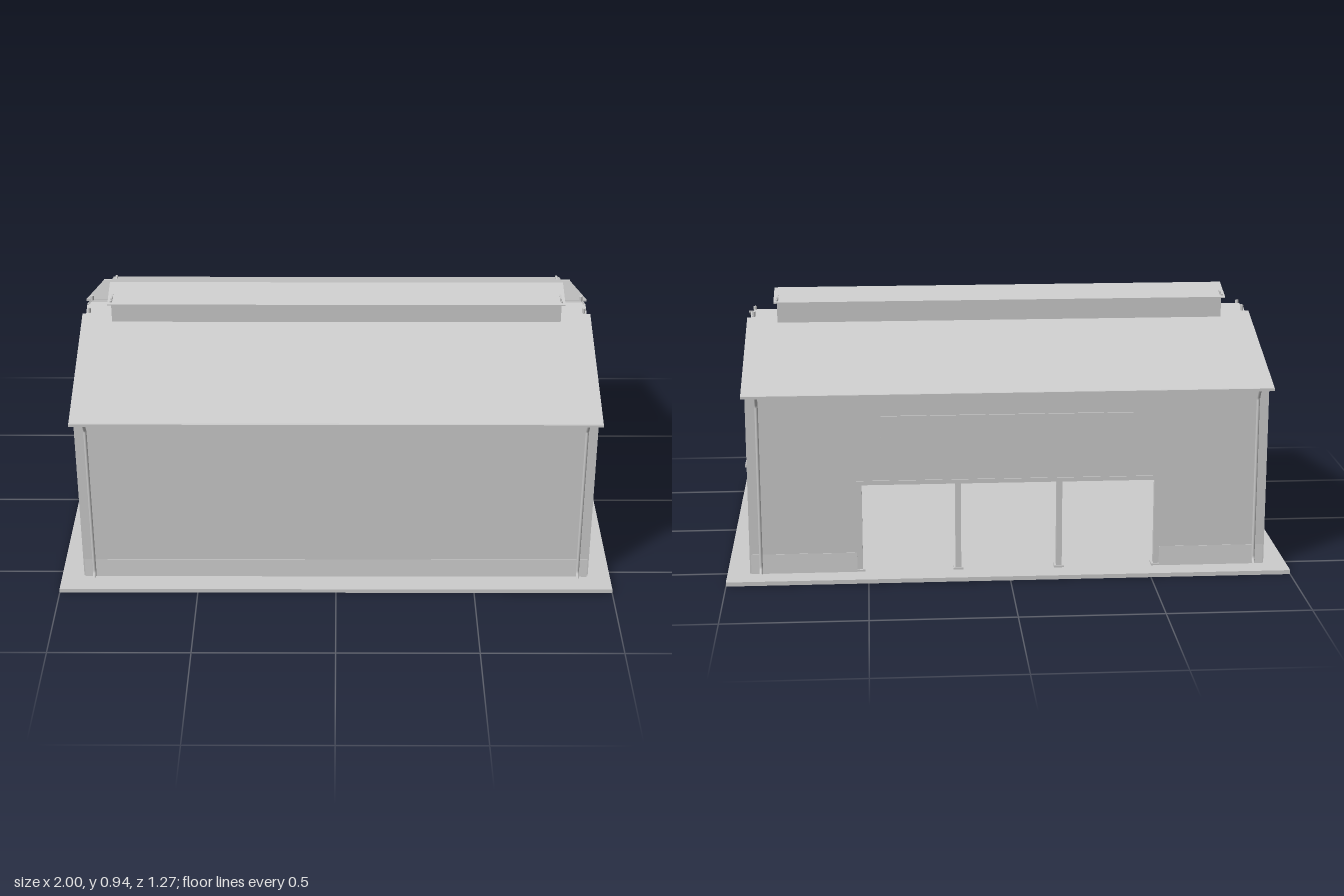
import * as THREE from 'three';

export function createModel() {
  const model = new THREE.Group();
  const grey = new THREE.MeshStandardMaterial({ color: 0xcccccc });
  grey.name = 'plainGrey';

  const add = (name, geo, parent = model) => {
    const m = new THREE.Mesh(geo, grey);
    m.name = name;
    parent.add(m);
    return m;
  };
  // Box given by its min and max on each axis
  const box = (name, x0, x1, y0, y1, z0, z1, parent) =>
    add(name, new THREE.BoxGeometry(x1 - x0, y1 - y0, z1 - z0)
      .translate((x0 + x1) / 2, (y0 + y1) / 2, (z0 + z1) / 2), parent);
  // Extrudes a z,y outline along x, from x0 to x1
  const prism = (name, pts, x0, x1, parent) => {
    const shape = new THREE.Shape(pts.map(([z, y]) => new THREE.Vector2(-z, y)));
    const geo = new THREE.ExtrudeGeometry(shape, { depth: x1 - x0, bevelEnabled: false });
    return add(name, geo.rotateY(Math.PI / 2).translate(x0, 0, 0), parent);
  };
  // Square bar between two points in the z,y plane at position x
  const bar = (name, x, [z0, y0], [z1, y1], w, parent) => {
    const m = add(name, new THREE.BoxGeometry(w, w, Math.hypot(z1 - z0, y1 - y0)), parent);
    m.position.set(x, (y0 + y1) / 2, (z0 + z1) / 2);
    m.rotation.x = -Math.atan2(y1 - y0, z1 - z0);
    return m;
  };

  const floor = 0.015, W = 0.915, D = 0.545, T = 0.016;
  const roofY = z => 0.86 - 0.325 * Math.abs(z);

  box('baseSlab', -1, 1, 0, floor, -0.635, 0.635);

  // Long walls
  box('frontWall', -W, W, floor, 0.675, D - T, D);
  const back = new THREE.Shape([[-W, floor], [-0.53, floor], [-0.53, 0.345], [0.53, 0.345],
    [0.53, floor], [W, floor], [W, 0.675], [-W, 0.675]].map(p => new THREE.Vector2(...p)));
  add('backWall', new THREE.ExtrudeGeometry(back, { depth: T, bevelEnabled: false }).translate(0, 0, -D));
  for (const x of [-0.53, -0.18, 0.18, 0.53]) {
    box('bayPost', x - 0.01, x + 0.01, floor, 0.345, -D, -D + 0.025);
    box('bayPostFoot', x - 0.018, x + 0.018, floor, 0.022, -D - 0.006, -D + 0.03);
  }
  box('bayLintel', -0.54, 0.54, 0.335, 0.35, -D - 0.004, -D + 0.02);
  box('backPanel', -0.45, 0.45, 0.485, 0.585, -D - 0.006, -D);

  // Sloping plinth strips
  const plinth = (s, x0, x1) => prism('plinth', s > 0
    ? [[D - 0.002, floor], [D + 0.007, floor], [D + 0.002, 0.085], [D - 0.002, 0.085]]
    : [[-D + 0.002, floor], [-D + 0.002, 0.085], [-D - 0.002, 0.085], [-D - 0.007, floor]], x0, x1);
  plinth(1, -W, W);
  plinth(-1, -W, -0.54);
  plinth(-1, 0.54, W);

  // Gable end walls, with a doorway in the left one
  const eave = roofY(D) - 0.008;
  const gableTop = [[-D, eave], [0, 0.85], [D, eave]];
  prism('rightGable', [...gableTop, [D, floor], [-D, floor]], -W, -W + T);
  prism('leftGable', [...gableTop, [D, floor], [0.185, floor], [0.185, 0.39],
    [-0.185, 0.39], [-0.185, floor], [-D, floor]], W - T, W);

  for (const s of [-1, 1]) {
    const gable = new THREE.Group();
    gable.name = 'gableTrim';
    model.add(gable);
    const [x0, x1] = s > 0 ? [W, W + 0.005] : [-W - 0.005, -W];
    for (const m of [-1, 1]) {
      // Corner strip with two bracket blocks
      box('cornerStrip', x0, x1, floor, 0.67, Math.min(m * 0.52, m * D), Math.max(m * 0.52, m * D), gable);
      for (const y of [0.46, 0.64])
        box('bracketBlock', x0, x1, y, y + 0.028, Math.min(m * 0.475, m * 0.52), Math.max(m * 0.475, m * 0.52), gable);
      const band = [[0, 0.838], [m * 0.52, 0.668], [m * D, eave], [0, 0.852]];
      prism('rakeBand', band, x0, x1, gable);
    }
    box('gablePanel', x0, x1, 0.69, 0.785, -0.15, 0.15, gable);
    const spans = s > 0 ? [[-0.52, -0.185], [0.185, 0.52]] : [[-0.52, 0.52]];
    for (const [a, b] of spans) box('gablePlinth', x0, x1, floor, 0.085, a, b, gable);
  }

  // Sliding door and its rail
  box('slidingDoor', W + 0.003, W + 0.012, floor, 0.387, -0.37, -0.165);
  box('doorRail', W, W + 0.014, 0.39, 0.398, -0.485, 0.305);

  // Roof sheets, gutters and ridge
  for (const m of [-1, 1]) {
    const t = 0.007;
    prism('roofSheet', [[m * 0.06, roofY(0.06)], [m * 0.585, roofY(0.585)],
      [m * 0.585, roofY(0.585) - t], [m * 0.06, roofY(0.06) - t]], -0.932, 0.932);
    prism('ridgeSheet', [[0, 0.858], [m * 0.06, roofY(0.06) - 0.002],
      [m * 0.06, roofY(0.06) - t], [0, 0.852]], -0.908, 0.908);
    box('gutter', -0.932, 0.932, 0.663, 0.672, m * 0.581 - 0.006, m * 0.581 + 0.006);
    for (const x of [-0.908, 0.908])
      add('ridgeKnob', new THREE.CylinderGeometry(0.006, 0.006, 0.02, 8))
        .position.set(x, 0.85, m * 0.05);
  }

  // Raised ridge vent
  for (const m of [-1, 1]) {
    box('ventSide', -0.82, 0.82, 0.82, 0.908, m * 0.097 - 0.003, m * 0.097 + 0.003);
    box('ventEnd', m * 0.817 - 0.003, m * 0.817 + 0.003, 0.82, 0.922, -0.1, 0.1);
    prism('ventCap', [[0, 0.94], [m * 0.118, 0.906], [m * 0.118, 0.902], [0, 0.936]], -0.832, 0.832);
    for (const x of [-0.82, 0.82])
      add('capBolt', new THREE.CylinderGeometry(0.004, 0.004, 0.006, 8)).position.set(x, 0.912, m * 0.105);
  }

  // Downpipes at the four corners
  for (const x of [-0.88, 0.88]) for (const m of [-1, 1]) {
    const path = new THREE.CurvePath();
    const pts = [[0.581, 0.665], [0.554, 0.625], [0.554, 0.04], [0.571, 0.02]]
      .map(([z, y]) => new THREE.Vector3(x, y, m * z));
    for (let i = 0; i < 3; i++) path.add(new THREE.LineCurve3(pts[i], pts[i + 1]));
    add('downpipe', new THREE.TubeGeometry(path, 40, 0.006, 8));
  }

  // Roof frames and purlins inside
  for (const x of [-0.89, -0.54, -0.18, 0.18, 0.54, 0.89]) {
    const frame = new THREE.Group();
    frame.name = 'roofFrame';
    model.add(frame);
    bar('tieBeam', x, [-0.53, 0.655], [0.53, 0.655], 0.014, frame);
    bar('kingPost', x, [0, 0.655], [0, 0.835], 0.012, frame);
    for (const m of [-1, 1]) {
      bar('rafter', x, [0, 0.836], [m * 0.53, 0.665], 0.014, frame);
      bar('strut', x, [0, 0.66], [m * 0.26, 0.75], 0.01, frame);
      box('wallColumn', x - 0.01, x + 0.01, m < 0 && Math.abs(x) < 0.5 ? 0.345 : floor, 0.66,
        m * 0.517 - 0.012, m * 0.517 + 0.012, frame);
    }
  }
  for (const m of [-1, 1]) for (const z of [0.1, 0.23, 0.36, 0.49])
    box('purlin', -0.9, 0.9, roofY(z) - 0.02, roofY(z) - 0.008, m * z - 0.005, m * z + 0.005);

  // Hanging block just inside the doorway
  box('hangerRod', 0.85, 0.87, 0.34, 0.655, -0.112, -0.066);
  box('hangingBlock', 0.83, 0.89, 0.315, 0.345, -0.122, -0.06);

  return model;
}
